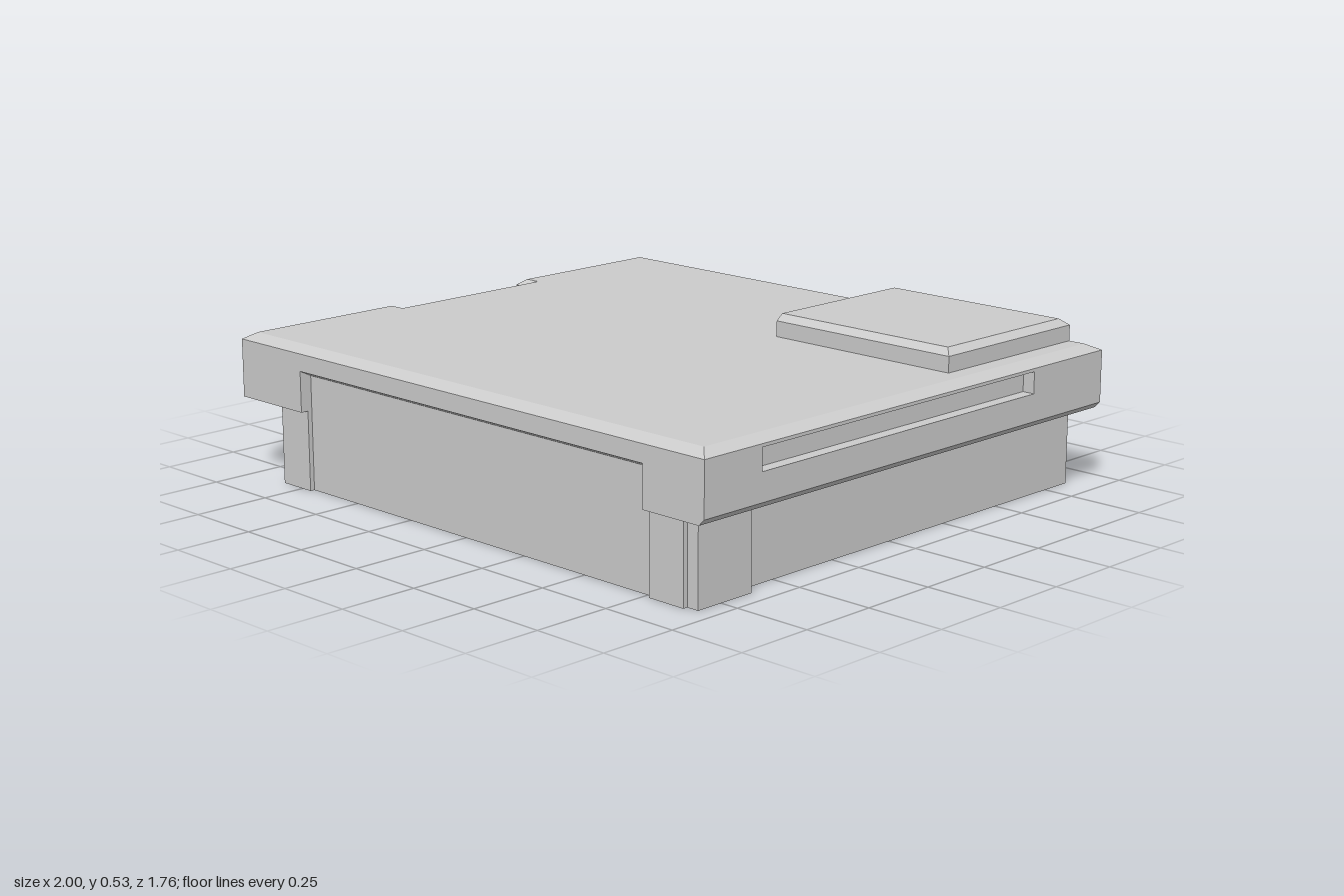
import * as THREE from 'three';

const material = new THREE.MeshStandardMaterial({ color: 0xcccccc, flatShading: true });

function addMesh(group, name, geometry) {
  const mesh = new THREE.Mesh(geometry, material);
  mesh.name = name;
  group.add(mesh);
}

// Joins stacked rings of [x, z] corners, lowest first, and closes both ends.
function loft(rings) {
  const pos = [];
  const put = (ring, i) => {
    const [x, z] = ring.points[i % ring.points.length];
    pos.push(x, ring.y, z);
  };
  for (let k = 0; k < rings.length - 1; k++) {
    const a = rings[k], b = rings[k + 1];
    for (let i = 0; i < a.points.length; i++) {
      put(a, i); put(a, i + 1); put(b, i + 1);
      put(a, i); put(b, i + 1); put(b, i);
    }
  }
  const cap = (ring, up) => {
    const flat = ring.points.map(([x, z]) => new THREE.Vector2(x, -z));
    for (const [a, b, c] of THREE.ShapeUtils.triangulateShape(flat, [])) {
      for (const i of up ? [a, b, c] : [c, b, a]) put(ring, i);
    }
  };
  cap(rings[0], false);
  cap(rings[rings.length - 1], true);
  const geometry = new THREE.BufferGeometry();
  geometry.setAttribute('position', new THREE.Float32BufferAttribute(pos, 3));
  geometry.computeVertexNormals();
  return geometry;
}

// Roof outline: side notch at -x, front and back recesses, slot in the +x edge.
function roofRing(y, { recess = 0, slot = 0, inset = 0, right = 0 }) {
  const x0 = -1 + inset * 0.75, x1 = 1 - inset - right, z = 0.88 - inset;
  const nx = -0.94 + inset * 0.6, nz = 0.275 + inset * 0.6;
  return {
    y,
    points: [
      [x0, z], [-0.71, z], [-0.71, z - recess], [0.77, z - recess], [0.77, z], [x1, z],
      [x1, 0.655], [x1 - slot, 0.655], [x1 - slot, -0.54], [x1, -0.54],
      [x1, -z], [0.77, -z], [0.77, -z + recess], [-0.71, -z + recess], [-0.71, -z], [x0, -z],
      [x0, -nz], [nx, -nz], [nx, nz], [x0, nz],
    ],
  };
}

export function createModel() {
  const model = new THREE.Group();
  model.name = 'building';

  // Base walls with corner piers, recessed long panels and one side buttress
  const base = [
    [-0.84, 0.855], [-0.71, 0.855], [-0.71, 0.84], [0.77, 0.84], [0.77, 0.855], [0.9, 0.855],
    [0.9, 0.84], [0.94, 0.84], [0.94, 0.63], [0.9, 0.63],
    [0.9, -0.855], [0.77, -0.855], [0.77, -0.84], [-0.71, -0.84], [-0.71, -0.855], [-0.84, -0.855],
  ];
  addMesh(model, 'baseWalls', loft([{ y: 0, points: base }, { y: 0.255, points: base }]));

  // Overhanging roof slab with chamfered rims
  const recess = 0.04, slot = 0.04;
  addMesh(model, 'roofSlab', loft([
    roofRing(0.255, { recess, right: 0.02 }),
    roofRing(0.275, { recess }),
    roofRing(0.362, { recess }),
    roofRing(0.362, { recess, slot }),
    roofRing(0.365, { recess, slot }),
    roofRing(0.385, { slot }),
    roofRing(0.43, { slot }),
    roofRing(0.43, {}),
    roofRing(0.44, {}),
    roofRing(0.46, { inset: 0.04 }),
  ]));

  // Raised roof block, chamfered on three sides
  const blockRing = (y, c) => ({
    y, points: [[0.225, -0.25 - c], [0.905 - c, -0.25 - c], [0.905 - c, -0.84 + c], [0.225, -0.84 + c]],
  });
  addMesh(model, 'roofBlock', loft([blockRing(0.44, 0), blockRing(0.51, 0), blockRing(0.53, 0.025)]));

  return model;
}
